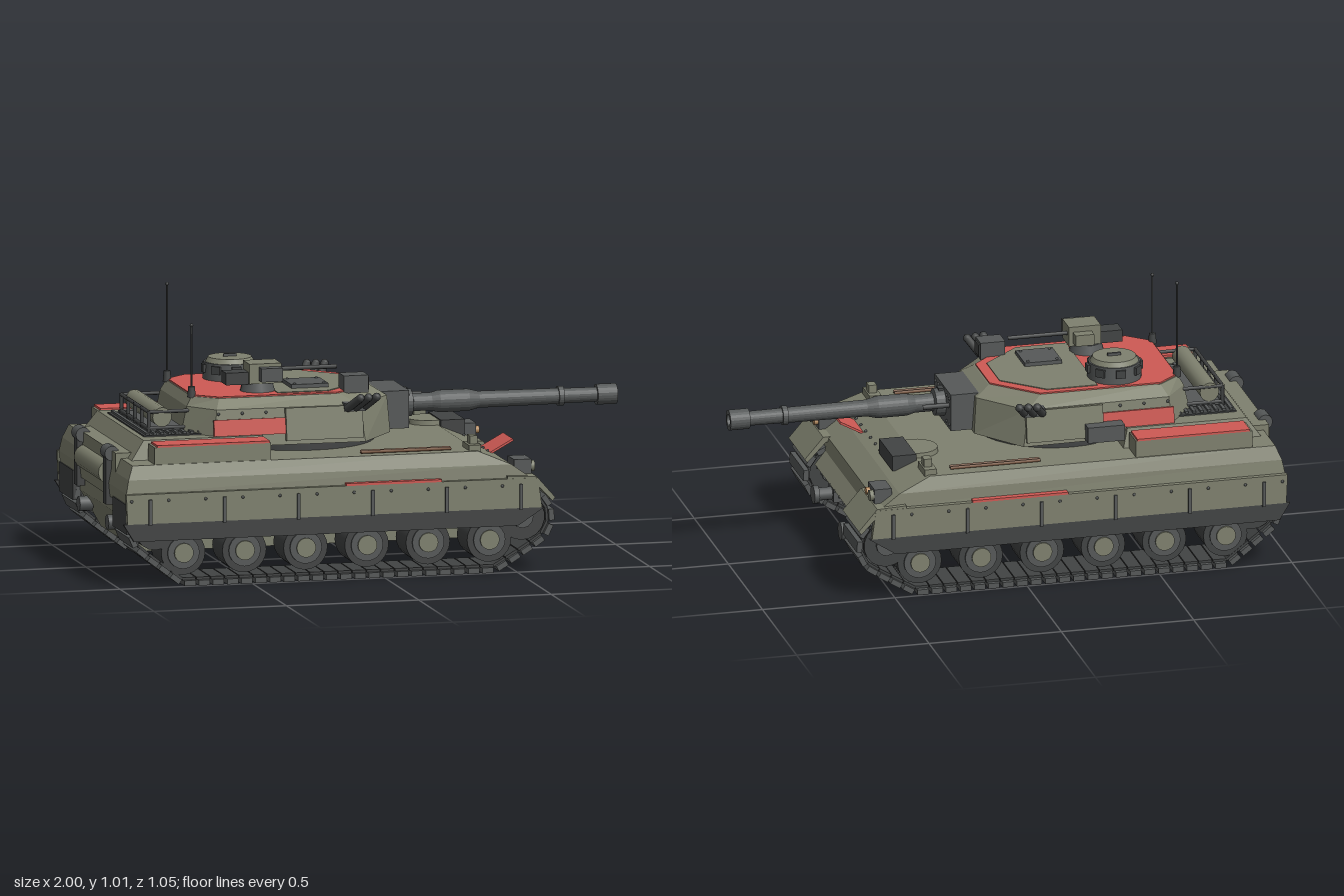
import * as THREE from 'three';

const mat = (name, color) => {
  const m = new THREE.MeshStandardMaterial({ color });
  m.name = name;
  return m;
};

export function createModel() {
  const root = new THREE.Group();
  root.name = 'tank';
  const olive = mat('olive paint', 0x7f816f), steel = mat('steel grey', 0x565959),
    dark = mat('dark rubber', 0x424444), red = mat('red panel', 0xcf5a54),
    wood = mat('wood brown', 0x76553f), amber = mat('amber lamp', 0xb98f62);

  const add = (name, geo, m, x = 0, y = 0, z = 0, parent = root) => {
    const mesh = new THREE.Mesh(geo, m);
    mesh.name = name;
    mesh.position.set(x, y, z);
    parent.add(mesh);
    return mesh;
  };
  // Box from its min and max on each axis
  const box = (name, m, x0, x1, y0, y1, z0, z1, parent) => add(name,
    new THREE.BoxGeometry(x1 - x0, y1 - y0, Math.abs(z1 - z0)), m, (x0 + x1) / 2, (y0 + y1) / 2, (z0 + z1) / 2, parent);
  const cyl = (name, m, r0, r1, h, x, y, z, axis = 'y', n = 20) => {
    const g = new THREE.CylinderGeometry(r0, r1, h, n);
    if (axis === 'x') g.rotateZ(-Math.PI / 2);
    if (axis === 'z') g.rotateX(Math.PI / 2);
    return add(name, g, m, x, y, z);
  };
  const rod = (name, m, r, a, b) => {
    const p = new THREE.Vector3(...a), q = new THREE.Vector3(...b);
    return add(name, new THREE.TubeGeometry(new THREE.LineCurve3(p, q), 1, r, 8), m);
  };
  // Side profile (x, y) extruded between z0 and z1
  const slab = (name, m, pts, z0, z1) => {
    const s = new THREE.Shape(pts.map(p => new THREE.Vector2(...p)));
    const g = new THREE.ExtrudeGeometry(s, { depth: Math.abs(z1 - z0), bevelEnabled: false });
    return add(name, g, m, 0, 0, Math.min(z0, z1));
  };
  // Plan outline given by its +z half, mirrored
  const mirror = half => [...half, ...half.map(([x, z]) => [x, -z]).reverse()];
  const plate = (name, m, half, y, h) => {
    const s = new THREE.Shape(mirror(half).map(p => new THREE.Vector2(...p)));
    const g = new THREE.ExtrudeGeometry(s, { depth: h, bevelEnabled: false });
    return add(name, g.rotateX(-Math.PI / 2), m, 0, y, 0);
  };
  // Stack of mirrored plan outlines [y, half] joined by flat faces
  const loft = (name, m, levels) => {
    const rings = levels.map(([y, half]) => mirror(half).map(([x, z]) => [x, y, z]));
    const v = [], n = rings[0].length;
    for (let k = 0; k + 1 < rings.length; k++) for (let i = 0; i < n; i++) {
      const j = (i + 1) % n, a = rings[k], b = rings[k + 1];
      v.push(...a[j], ...a[i], ...b[i], ...a[j], ...b[i], ...b[j]);
    }
    const a = rings[0], b = rings[rings.length - 1];
    for (let i = 1; i + 1 < n; i++) v.push(...b[0], ...b[i + 1], ...b[i], ...a[0], ...a[i], ...a[i + 1]);
    const g = new THREE.BufferGeometry();
    g.setAttribute('position', new THREE.Float32BufferAttribute(v, 3));
    g.computeVertexNormals();
    return add(name, g, m);
  };
  const boltGeo = new THREE.SphereGeometry(0.006, 6, 4);
  const bolt = (x, y, z) => add('bolt', boltGeo, steel, x, y, z);

  // Hull: narrow lower tub, wide upper body, raised engine deck
  slab('lowerHull', olive, [[-0.87, 0.1], [0.46, 0.1], [0.6, 0.25], [0.48, 0.395], [0.3, 0.4], [-0.95, 0.4], [-0.95, 0.24]], -0.287, 0.287);
  loft('upperHull', olive, [
    [0.3, [[0.56, 0.495], [-0.97, 0.495]]],
    [0.35, [[0.55, 0.497], [-0.975, 0.497]]],
    [0.4, [[0.48, 0.492], [-0.965, 0.49]]],
    [0.45, [[0.36, 0.47], [-0.945, 0.47]]]]);
  loft('engineDeck', olive, [[0.45, [[-0.4, 0.36], [-0.92, 0.36]]], [0.52, [[-0.42, 0.34], [-0.87, 0.34]]]]);
  box('engineGrille', dark, -0.85, -0.62, 0.515, 0.525, -0.27, 0.27);
  for (let i = 0; i < 8; i++) box('grilleSlat', steel, -0.84 + i * 0.028, -0.828 + i * 0.028, 0.525, 0.533, -0.26, 0.26);
  box('rearShelf', olive, -0.965, -0.9, 0.36, 0.47, -0.3, 0.3);
  for (let i = 0; i < 9; i++) {
    bolt(0.445, 0.417, -0.28 + i * 0.07);
    bolt(0.597, 0.247, -0.26 + i * 0.065);
  }

  // Track path shared by both sides
  const path = new THREE.Shape();
  path.moveTo(-0.76, 0.02);
  path.lineTo(0.42, 0.02);
  path.absarc(0.525, 0.2, 0.1, -0.9, Math.PI / 2, false);
  path.lineTo(-0.86, 0.3);
  path.absarc(-0.86, 0.21, 0.09, Math.PI / 2, Math.PI + 0.95, false);
  path.closePath();
  const links = path.getSpacedPoints(64);
  const padGeo = new THREE.BoxGeometry(0.042, 0.02, 0.205), webGeo = new THREE.BoxGeometry(0.05, 0.01, 0.17);

  for (const s of [1, -1]) {
    const tracks = new THREE.Group();
    tracks.name = s > 0 ? 'leftTrack' : 'rightTrack';
    root.add(tracks);
    for (let i = 0; i < 64; i++) {
      const a = links[i], b = links[i + 1], link = new THREE.Group();
      link.name = 'trackLink';
      link.position.set((a.x + b.x) / 2, (a.y + b.y) / 2, s * 0.392);
      link.rotation.z = Math.atan2(b.y - a.y, b.x - a.x);
      add('pad', padGeo, steel, 0, -0.01, 0, link);
      add('web', webGeo, dark, 0, 0.004, 0, link);
      tracks.add(link);
    }
    // Road wheels, idler and sprocket
    for (let i = 0; i < 6; i++) {
      const x = -0.755 + i * 0.231;
      cyl('roadWheelTyre', dark, 0.083, 0.083, 0.15, x, 0.122, s * 0.4, 'z', 24);
      cyl('roadWheelDisc', steel, 0.06, 0.06, 0.16, x, 0.122, s * 0.402, 'z');
      cyl('roadWheelHub', olive, 0.036, 0.036, 0.17, x, 0.122, s * 0.404, 'z');
    }
    for (const [x, y, r] of [[0.525, 0.2, 0.085], [-0.86, 0.21, 0.075]]) {
      cyl('endWheel', dark, r, r, 0.15, x, y, s * 0.4, 'z', 18);
      cyl('endWheelHub', steel, 0.04, 0.04, 0.17, x, y, s * 0.4, 'z', 12);
    }
    // Side skirts with rubber lower edge, seams and bolts
    slab('skirt', olive, [[-0.975, 0.24], [0.59, 0.24], [0.575, 0.35], [-0.98, 0.35]], s * 0.495, s * 0.516);
    slab('skirtRubber', dark, [[-0.99, 0.24], [-0.95, 0.175], [0.5, 0.175], [0.6, 0.24]], s * 0.498, s * 0.514);
    for (let i = 0; i < 6; i++) {
      const x = -0.89 + i * 0.28;
      box('skirtSeam', steel, x - 0.006, x + 0.006, 0.235, 0.33, s * 0.514, s * 0.523);
      for (const d of [-0.07, 0, 0.07]) if (x + d < 0.55) bolt(x + d, 0.325, s * 0.516);
    }
    box('skirtRedStrip', red, -0.15, 0.21, 0.35, 0.359, s * 0.49, s * 0.52);
    // Fenders
    slab('frontFender', olive, [[0.46, 0.36], [0.57, 0.355], [0.64, 0.275], [0.63, 0.262], [0.56, 0.335], [0.46, 0.34]], s * 0.277, s * 0.515);
    box('rearMudFlap', dark, -0.975, -0.96, 0.2, 0.31, s * 0.29, s * 0.495);
    // Headlights
    box('headlightBox', steel, 0.5, 0.565, 0.35, 0.41, s * 0.36, s * 0.455);
    cyl('headlight', olive, 0.02, 0.02, 0.02, 0.57, 0.382, s * 0.432, 'x', 14);
    cyl('markerLamp', amber, 0.014, 0.014, 0.02, 0.57, 0.382, s * 0.382, 'x', 12);
    // Stowage bin with red lid, tool rods and periscope post
    box('stowageBin', olive, -0.86, -0.42, 0.43, 0.513, s * 0.365, s * 0.465);
    box('binLid', red, -0.85, -0.425, 0.513, 0.521, s * 0.37, s * 0.468);
    for (const z of [0.402, 0.42]) rod('toolHandle', wood, 0.006, [-0.07, 0.456, s * z], [0.27, 0.456, s * z]);
    box('toolBox', olive, 0.33, 0.375, 0.43, 0.47, s * 0.355, s * 0.455);
    box('toolPost', olive, 0.34, 0.37, 0.47, 0.5, s * 0.385, s * 0.425);
    // Tow points front and rear
    box('frontTowPlate', steel, 0.51, 0.56, 0.14, 0.192, s * 0.163, s * 0.238);
    cyl('frontTowEye', steel, 0.024, 0.024, 0.05, 0.585, 0.165, s * 0.2, 'x', 14);
    cyl('frontTowKnob', steel, 0.034, 0.034, 0.02, 0.62, 0.165, s * 0.2, 'x', 14);
    box('rearBracket', dark, -0.985, -0.955, 0.27, 0.46, s * 0.19, s * 0.235);
    cyl('rearBracketCap', steel, 0.028, 0.028, 0.07, -0.965, 0.46, s * 0.212, 'z', 12);
    cyl('rearTowEye', steel, 0.028, 0.028, 0.05, -0.95, 0.2, s * 0.21, 'x', 12);
  }
  cyl('rearRoll', olive, 0.045, 0.045, 0.36, -0.955, 0.38, 0, 'z', 16);

  // Driver hatch, vision block and raised red flap on the glacis
  cyl('driverHatch', olive, 0.078, 0.08, 0.02, 0.34, 0.458, -0.195);
  box('driverVisionBlock', dark, 0.365, 0.455, 0.415, 0.472, -0.29, -0.095);
  const flap = add('redFlap', new THREE.BoxGeometry(0.125, 0.008, 0.142), red, 0.485, 0.425, 0.215);
  flap.rotation.z = 0.5;

  // Turret body on its ring
  cyl('turretRing', dark, 0.3, 0.3, 0.04, -0.22, 0.465, 0, 'y', 32);
  loft('turretBody', olive, [
    [0.48, [[0.11, 0.15], [-0.03, 0.335], [-0.6, 0.325], [-0.7, 0.2]]],
    [0.615, [[0.1, 0.14], [-0.05, 0.315], [-0.585, 0.305], [-0.67, 0.195]]],
    [0.65, [[0.045, 0.11], [-0.11, 0.262], [-0.565, 0.262], [-0.65, 0.188]]]]);
  plate('redRoof', red, [[0.04, 0.105], [-0.112, 0.256], [-0.565, 0.256], [-0.645, 0.185]], 0.65, 0.005);
  plate('roofPanel', olive, [[0.0, 0.095], [-0.145, 0.23], [-0.335, 0.23]], 0.652, 0.006);
  for (const s of [1, -1]) {
    const panel = add('turretSidePanel', new THREE.BoxGeometry(0.27, 0.06, 0.012), red, -0.465, 0.55, s * 0.322);
    panel.rotation.x = -s * 0.14;
    const armour = add('turretSideArmour', new THREE.BoxGeometry(0.29, 0.12, 0.02), olive, -0.185, 0.555, s * 0.328);
    armour.rotation.x = -s * 0.14;
    for (let i = 0; i < 6; i++) bolt(-0.58 + i * 0.09, 0.6, s * 0.311);
    // Smoke launcher cluster
    box('smokeLauncherMount', steel, -0.11, -0.03, 0.595, 0.625, s * 0.29, s * 0.34);
    for (let i = 0; i < 3; i++) {
      const x = -0.1 + i * 0.032, z = 0.335 - i * 0.006;
      const tube = rod('smokeTube', dark, 0.015, [x, 0.605, s * z], [x + 0.035, 0.652, s * (z + 0.06)]);
      tube.material = dark;
      const cap = add('smokeTubeCap', new THREE.SphereGeometry(0.015, 8, 6), dark, x + 0.035, 0.652, s * (z + 0.06));
      cap.scale.setScalar(1.05);
    }
    // Antennas
    const top = s > 0 ? 0.912 : 1.007;
    cyl('antennaBase', dark, 0.012, 0.016, 0.04, -0.648, 0.665, s * 0.18, 'y', 10);
    rod('antenna', dark, 0.0035, [-0.648, 0.66, s * 0.18], [-0.648, top, s * 0.18]);
    add('antennaTip', new THREE.SphereGeometry(0.007, 8, 6), dark, -0.648, top, s * 0.18);
    // Rear basket side rails
    for (const y of [0.54, 0.6]) rod('basketSideRail', dark, 0.007, [-0.66, y, s * 0.2], [-0.815, y, s * 0.2]);
  }
  box('turretSideBox', steel, -0.4, -0.26, 0.49, 0.55, -0.385, -0.33);

  // Rear basket with rolled tarpaulin
  for (const y of [0.54, 0.6]) rod('basketRail', dark, 0.007, [-0.815, y, -0.2], [-0.815, y, 0.2]);
  for (let i = 0; i < 5; i++) rod('basketPost', dark, 0.007, [-0.815, 0.52, -0.2 + i * 0.1], [-0.815, 0.605, -0.2 + i * 0.1]);
  box('basketFloor', steel, -0.82, -0.68, 0.53, 0.54, -0.205, 0.205);
  cyl('tarpaulinRoll', olive, 0.036, 0.036, 0.41, -0.765, 0.58, 0, 'z', 16);

  // Mantlet and gun along +x
  box('mantlet', steel, 0.07, 0.19, 0.485, 0.625, -0.118, 0.118);
  for (const y of [0.505, 0.605]) for (const z of [-0.1, -0.06, 0.06, 0.1]) bolt(0.191, y, z);
  box('gunSight', dark, 0.16, 0.21, 0.595, 0.617, -0.018, 0.018);
  const profile = [[0, 0.18], [0.054, 0.18], [0.05, 0.225], [0.033, 0.23], [0.033, 0.3], [0.041, 0.33], [0.041, 0.44],
    [0.031, 0.48], [0.029, 0.78], [0.036, 0.78], [0.036, 0.8], [0.028, 0.8], [0.027, 0.925], [0.038, 0.925],
    [0.038, 1.0], [0.022, 1.0], [0.02, 0.95], [0, 0.95]];
  const barrel = new THREE.LatheGeometry(profile.map(p => new THREE.Vector2(...p)), 24).toNonIndexed();
  barrel.computeVertexNormals();
  add('gunBarrel', barrel.rotateZ(-Math.PI / 2), steel, 0, 0.56, 0);
  rod('coaxialGun', dark, 0.01, [0.15, 0.575, -0.087], [0.29, 0.575, -0.087]);

  // Commander cupola ringed with vision blocks
  cyl('cupola', steel, 0.096, 0.1, 0.065, -0.42, 0.685, -0.145, 'y', 28);
  cyl('cupolaLid', olive, 0.08, 0.09, 0.018, -0.42, 0.726, -0.145, 'y', 28);
  box('cupolaHandle', steel, -0.445, -0.395, 0.735, 0.745, -0.15, -0.14);
  for (let i = 0; i < 8; i++) {
    const a = i * Math.PI / 4;
    const b = add('visionBlock', new THREE.BoxGeometry(0.02, 0.03, 0.036), dark, -0.42 + 0.095 * Math.cos(a), 0.695, -0.145 + 0.095 * Math.sin(a));
    b.rotation.y = -a;
  }

  // Remote weapon station, loader hatch and roof sight
  cyl('weaponMount', steel, 0.055, 0.065, 0.035, -0.39, 0.672, 0.145, 'y', 16);
  box('weaponHousing', olive, -0.435, -0.315, 0.688, 0.762, 0.108, 0.205);
  box('weaponAmmoBox', olive, -0.4, -0.33, 0.7, 0.742, 0.068, 0.108);
  box('weaponOptic', steel, -0.4, -0.32, 0.7, 0.75, 0.205, 0.245);
  box('weaponRearBox', dark, -0.52, -0.435, 0.685, 0.73, 0.12, 0.19);
  rod('machineGun', dark, 0.008, [-0.32, 0.73, 0.14], [-0.09, 0.73, 0.14]);
  box('loaderHatch', steel, -0.265, -0.125, 0.655, 0.672, 0.02, 0.16);
  for (const x of [-0.25, -0.14]) for (const z of [0.035, 0.145]) bolt(x, 0.672, z);
  box('roofSight', steel, -0.088, 0.005, 0.645, 0.71, 0.163, 0.24);
  box('roofSightWindow', dark, 0.005, 0.01, 0.655, 0.7, 0.172, 0.231);

  return root;
}
